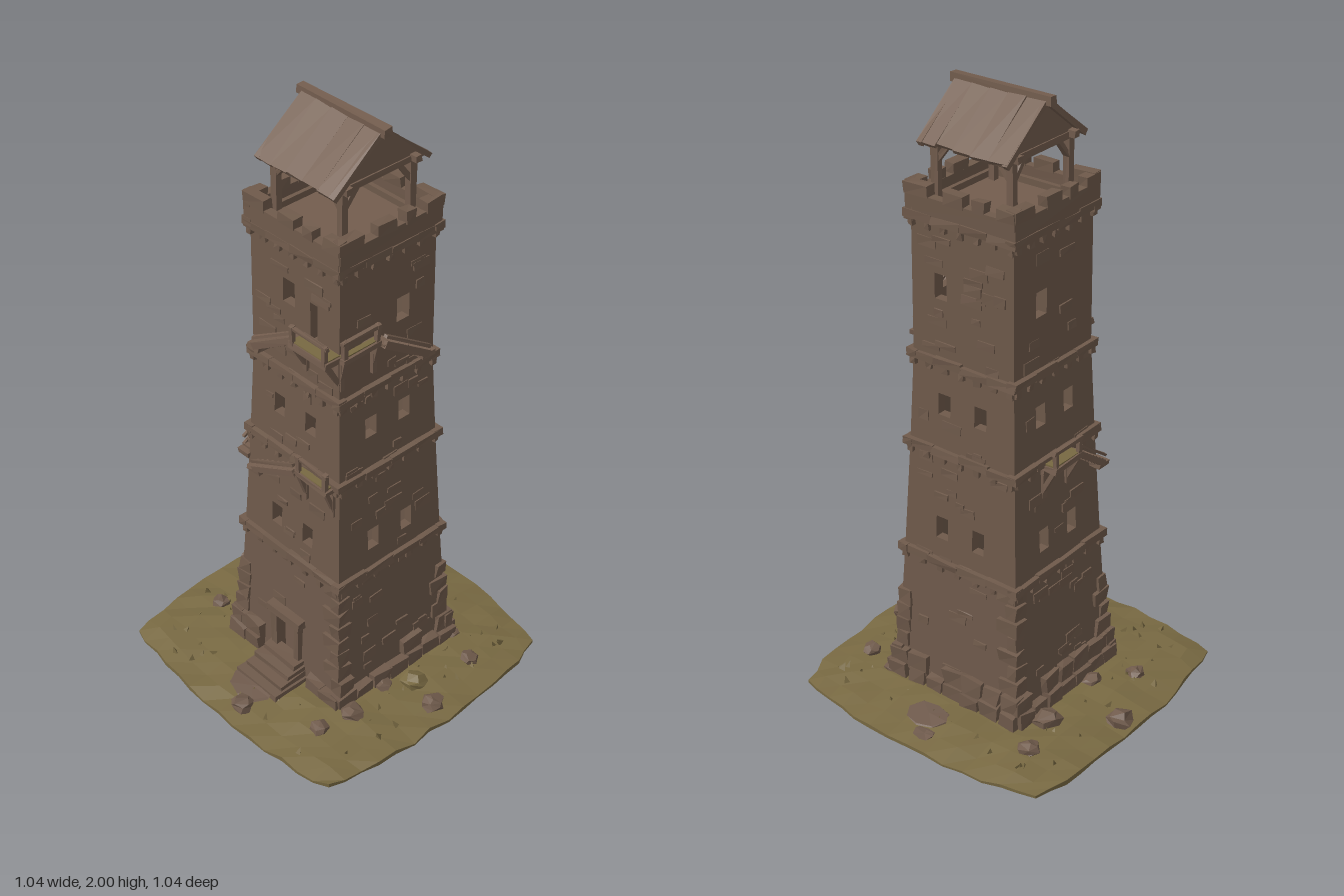
import * as THREE from 'three';

const mat = (name, color) => Object.assign(new THREE.MeshStandardMaterial({ color, flatShading: true }), { name });

export function createModel() {
  const stone = mat('stone', 0x6f5a4b), wood = mat('wood', 0x735d4e);
  const grass = mat('grass', 0x786942), dirt = mat('dirt', 0x715c4e);
  const model = new THREE.Group();
  model.name = 'watchtower';

  let seed = 7;
  const rnd = (a = 0, b = 1) => {
    seed = (seed * 16807) % 2147483647;
    return a + (b - a) * seed / 2147483647;
  };
  // Repeatable noise in -1..1 from a position
  const noise = (x, y, z) => {
    const s = Math.sin(x * 127.1 + y * 311.7 + z * 74.7) * 43758.5453;
    return (s - Math.floor(s)) * 2 - 1;
  };
  const rough = (geo, amount, salt) => {
    const p = geo.attributes.position;
    for (let i = 0; i < p.count; i++) {
      const [x, y, z] = [p.getX(i), p.getY(i), p.getZ(i)].map(v => Math.round(v * 1000) / 1000 + 0);
      p.setXYZ(i, x + amount * noise(x + salt, y, z), y + amount * noise(x, y + salt, z), z + amount * noise(x, y, z + salt));
    }
    geo.computeVertexNormals();
    return geo;
  };
  const add = (parent, name, geo, material, x = 0, y = 0, z = 0) => {
    const m = new THREE.Mesh(geo, material);
    m.name = name;
    m.position.set(x, y, z);
    parent.add(m);
    return m;
  };
  // Hand-hewn block
  const block = (parent, name, material, w, h, d, x, y, z, amount = 0.003) =>
    add(parent, name, rough(new THREE.BoxGeometry(w, h, d), amount, rnd(1, 9)), material, x, y, z);
  // Straight beam between two points
  const beam = (parent, name, a, b, thick, depth, material = wood) => {
    const A = new THREE.Vector3(...a), B = new THREE.Vector3(...b);
    const m = block(parent, name, material, thick, A.distanceTo(B), depth, 0, 0, 0, 0.002);
    m.position.copy(A).add(B).multiplyScalar(0.5);
    m.quaternion.setFromUnitVectors(new THREE.Vector3(0, 1, 0), B.sub(A).normalize());
    return m;
  };

  // Ground slab with ragged edge and gentle mound
  const ground = new THREE.BoxGeometry(1, 1, 1, 14, 1, 14);
  const gp = ground.attributes.position;
  for (let i = 0; i < gp.count; i++) {
    const x = gp.getX(i), z = gp.getZ(i), top = gp.getY(i) > 0;
    const rx = Math.round(x * 14), rz = Math.round(z * 14);
    const edge = Math.max(Math.abs(x), Math.abs(z)) * 2;
    const bulge = 1.035 - 0.4 * x * x * z * z * 4 + 0.014 * noise(rx, 1, rz);
    const y = 0.012 + 0.022 * Math.min(1, (1 - edge) * 3) + 0.006 * noise(rx, 3, rz);
    gp.setXYZ(i, x * bulge, top ? y : 0, z * bulge - 0.005);
  }
  ground.computeVertexNormals();
  add(model, 'ground', ground, grass);

  // Bare earth patches
  for (const [x, z, r] of [[0.02, -0.39, 0.075], [-0.03, -0.47, 0.035], [0, 0.37, 0.08]]) {
    const patch = add(model, 'dirtPatch', rough(new THREE.CylinderGeometry(r, r, 0.006, 8), 0.008, x), dirt, x, 0.036, z);
    patch.scale.set(1, 0.5, 0.75);
  }

  // Loose rocks: x, z, radius
  for (const [x, z, r] of [[-0.33, -0.33, 0.037], [-0.29, -0.18, 0.05], [-0.465, -0.035, 0.047], [-0.28, 0.07, 0.035],
    [-0.37, 0.19, 0.032], [0.39, -0.235, 0.032], [0.34, -0.03, 0.042], [0.45, -0.005, 0.04], [0.31, 0.215, 0.043],
    [0.285, 0.335, 0.034], [0.04, 0.445, 0.038], [0.29, 0.06, 0.03], [0.27, -0.27, 0.03]]) {
    const rock = add(model, 'rock', rough(new THREE.DodecahedronGeometry(r), r * 0.15, x), x === 0.34 ? grass : stone, x, 0.035, z);
    rock.scale.y = 0.65;
    rock.rotation.y = x * 20;
  }
  // Grass tufts
  for (let i = 0; i < 60; i++) {
    const a = rnd(0, 6.28), s = rnd(0.3, 0.47) / Math.max(Math.abs(Math.cos(a)), Math.abs(Math.sin(a)));
    const tuft = add(model, 'grassTuft', new THREE.ConeGeometry(rnd(0.006, 0.014), 0.025, 3), grass,
      Math.cos(a) * Math.min(s, 0.54), 0.032, Math.sin(a) * Math.min(s, 0.54));
    tuft.rotation.set(rnd(-0.7, 0.7), rnd(0, 6), rnd(-0.7, 0.7));
  }

  const tower = new THREE.Group();
  tower.name = 'tower';
  tower.position.set(0.01, 0, -0.02);
  model.add(tower);

  // Half width of the tapering tower at a height
  const taper = [[0, 0.245], [0.5, 0.218], [0.88, 0.2], [1.18, 0.188], [1.66, 0.186]];
  const half = y => {
    let i = 1;
    while (i < taper.length - 1 && y > taper[i][0]) i++;
    const [y0, w0] = taper[i - 1], [y1, w1] = taper[i];
    return w0 + (w1 - w0) * (y - y0) / (y1 - y0);
  };

  // Openings on each side (front, left, back, right): centre across, centre up, width, height
  const pair = [[-0.068, 1.04, 0.045, 0.07], [0.068, 1.04, 0.045, 0.07], [-0.07, 0.62, 0.045, 0.075], [0.07, 0.62, 0.045, 0.075]];
  const openings = [
    [...pair, [0, 0.16, 0.09, 0.18], [-0.025, 1.46, 0.05, 0.08], [0.08, 1.405, 0.03, 0.13]],
    [...pair, [0.06, 1.4, 0.05, 0.08]],
    [...pair, [-0.08, 1.42, 0.045, 0.08]],
    [...pair, [-0.06, 1.4, 0.05, 0.08]],
  ];

  const sides = openings.map((holes, k) => {
    const side = new THREE.Group();
    side.name = ['frontSide', 'leftSide', 'backSide', 'rightSide'][k];
    side.rotation.y = k * Math.PI / 2;
    tower.add(side);

    // Wall panels, one per storey, leaning in with the taper
    for (let i = 1; i < taper.length; i++) {
      const [y0, w0] = taper[i - 1], [y1, w1] = taper[i];
      const shape = new THREE.Shape([[-w0, y0], [w0, y0], [w1, y1], [-w1, y1]].map(p => new THREE.Vector2(...p)));
      for (const [u, y, w, h] of holes) {
        if (y < y0 || y > y1) continue;
        shape.holes.push(new THREE.Path([[-1, -1], [-1, 1], [1, 1], [1, -1]].map(([a, b]) => new THREE.Vector2(u + a * w / 2, y + b * h / 2))));
      }
      const geo = new THREE.ExtrudeGeometry(shape, { depth: 0.03, bevelEnabled: false });
      const p = geo.attributes.position;
      for (let j = 0; j < p.count; j++) p.setZ(j, p.getZ(j) + half(p.getY(j)) - 0.03);
      geo.computeVertexNormals();
      add(side, 'wall', geo, stone);
    }

    // Raised stones scattered over the wall
    for (let i = 0; i < 50; i++) {
      const y = rnd(0.12, 1.58), u = rnd(-0.15, 0.15), w = rnd(0.03, 0.075), h = rnd(0.015, 0.035);
      if (holes.some(o => Math.abs(o[0] - u) < (o[2] + w) / 2 + 0.005 && Math.abs(o[1] - y) < (o[3] + h) / 2 + 0.005)) continue;
      block(side, 'wallStone', stone, w, h, 0.008, u, y, half(y), 0.002).rotation.x = -0.04;
    }

    // Storey bands with teeth below
    for (const [y, h] of [[0.505, 0.026], [0.885, 0.024], [1.18, 0.024], [1.625, 0.024]]) {
      const r = half(y) + 0.014;
      for (let i = 0; i < 4; i++) {
        const w = r / 2;
        block(side, 'band', stone, w + 0.004, h, 0.034, -r + w * (i + 0.5), y + rnd(-0.003, 0.003), r - 0.015);
      }
      for (let i = 0; i < 7; i++) block(side, 'bandTooth', stone, 0.02, 0.024, 0.02, (i - 3) * r * 0.3, y - 0.021, half(y) + 0.003);
    }

    // Foundation stones and corner quoins
    for (let row = 0; row < 2; row++) for (let i = 0; i < 7; i++) {
      const u = (i - 3) * 0.074;
      if (k === 0 && Math.abs(u) < 0.08 || row && rnd() < 0.25) continue;
      block(side, 'foundationStone', stone, rnd(0.06, 0.08), rnd(0.05, 0.065), 0.04, u, 0.05 + row * 0.057, 0.25 - row * 0.012, 0.006);
    }
    for (let i = 0; i < 7; i++) {
      const y = 0.165 + i * 0.053, w = i % 2 ? 0.04 : 0.07;
      if (i > 3 && k % 2) continue;
      block(side, 'quoin', stone, w, 0.048, 0.05, half(y) - w / 2 + 0.009, y, half(y) - 0.016, 0.005);
    }

    // Parapet and merlons
    block(side, 'parapet', stone, 0.396, 0.058, 0.03, 0, 1.664, 0.185, 0.002);
    for (const [u, w] of [[-0.155, 0.085], [-0.02, 0.07], [0.07, 0.04], [0.165, 0.065]])
      block(side, 'merlon', stone, w, 0.036, 0.034, u, 1.706, 0.185);
    return side;
  });
  block(tower, 'topFloor', wood, 0.36, 0.02, 0.36, 0, 1.63, 0, 0);

  // Doorway: door leaf, frame, lintel and steps
  const front = sides[0];
  block(front, 'door', wood, 0.1, 0.19, 0.012, 0, 0.16, 0.205, 0);
  for (const s of [-1, 1]) block(front, 'doorPost', stone, 0.024, 0.18, 0.03, s * 0.055, 0.16, 0.238);
  block(front, 'lintel', stone, 0.15, 0.03, 0.045, 0, 0.262, 0.24);
  for (let i = 0; i < 4; i++)
    block(front, 'step', stone, 0.185 - i * 0.012, 0.024, 0.15 - i * 0.033, 0, 0.034 + i * 0.019, 0.305 - i * 0.0165);

  // Landing with mossy top, brackets and railing
  const landing = (side, u0, u1, y, out) => {
    const r = half(y), mid = (u0 + u1) / 2, w = u1 - u0;
    block(side, 'landing', wood, w, 0.018, out, mid, y, r + out / 2);
    block(side, 'landingMoss', grass, w - 0.012, 0.006, out - 0.012, mid, y + 0.01, r + out / 2, 0.001);
    for (const u of [u0 + 0.012, u1 - 0.012]) {
      beam(side, 'bracket', [u, y - 0.1, r], [u, y, r + out - 0.008], 0.014, 0.014);
      beam(side, 'wallPost', [u, y - 0.11, r + 0.006], [u, y, r + 0.006], 0.016, 0.014);
      beam(side, 'railPost', [u, y, r + out - 0.008], [u, y + 0.065, r + out - 0.008], 0.014, 0.014);
    }
    beam(side, 'rail', [u0, y + 0.058, r + out - 0.008], [u1, y + 0.058, r + out - 0.008], 0.012, 0.012);
  };
  // Sloping flight against a wall, with treads
  const flight = (side, u0, y0, u1, y1) => {
    const r = half(y0);
    beam(side, 'stringer', [u0, y0, r + 0.04], [u1, y1, r + 0.04], 0.022, 0.012);
    beam(side, 'handrail', [u0, y0 + 0.03, r + 0.043], [u1, y1 + 0.03, r + 0.043], 0.01, 0.012);
    for (let i = 0; i < 8; i++) {
      const t = (i + 0.5) / 8;
      block(side, 'tread', wood, 0.03, 0.012, 0.045, u0 + (u1 - u0) * t, y0 + (y1 - y0) * t, r + 0.02, 0.001);
    }
    block(side, 'foot', wood, 0.05, 0.018, 0.045, u0, y0 - 0.005, r + 0.02);
  };
  landing(front, 0.05, 0.19, 0.875, 0.045);
  flight(front, -0.14, 0.78, 0.05, 0.875);
  landing(sides[3], -0.08, 0.06, 0.875, 0.06);
  flight(sides[3], 0.19, 0.78, 0.06, 0.87);
  landing(front, 0.04, 0.2, 1.345, 0.065);
  flight(front, -0.14, 1.235, 0.04, 1.345);
  landing(sides[1], -0.2, -0.05, 1.345, 0.03);
  flight(sides[1], 0.13, 1.225, -0.05, 1.345);

  // Roof frame: posts, braces and plates
  const roof = new THREE.Group();
  roof.name = 'roof';
  tower.add(roof);
  for (const sx of [-1, 1]) for (const sz of [-1, 1]) {
    const x = sx * 0.135, z = sz * 0.13;
    beam(roof, 'post', [x, 1.63, z], [x, 1.85, z], 0.022, 0.022);
    beam(roof, 'brace', [x, 1.775, z], [x - sx * 0.055, 1.845, z], 0.016, 0.016);
    beam(roof, 'brace', [x, 1.775, z], [x, 1.845, z - sz * 0.055], 0.016, 0.016);
  }
  for (const s of [-1, 1]) {
    beam(roof, 'eavesBeam', [-0.165, 1.848, s * 0.13], [0.165, 1.848, s * 0.13], 0.022, 0.022);
    beam(roof, 'tieBeam', [s * 0.135, 1.842, -0.17], [s * 0.135, 1.842, 0.17], 0.02, 0.02);
    // Gable boarding
    const tri = new THREE.Shape([[-0.165, 1.84], [0.165, 1.84], [0, 1.975]].map(p => new THREE.Vector2(...p)));
    const gable = add(roof, 'gable', new THREE.ExtrudeGeometry(tri, { depth: 0.01, bevelEnabled: false }), wood, s * 0.135 - 0.005);
    gable.rotation.y = Math.PI / 2;
    // Roof boards and rafters along the edge
    const pitch = Math.atan2(0.14, 0.175);
    for (let i = 0; i < 5; i++) {
      const board = block(roof, 'roofBoard', wood, 0.064, 0.014, 0.226 + rnd(-0.01, 0.01), (i - 2) * 0.063, 1.912, s * 0.09, 0.002);
      board.rotation.x = s * pitch;
    }
    for (const x of [-0.152, 0.152]) beam(roof, 'rafter', [x, 1.838, s * 0.18], [x, 1.98, 0], 0.018, 0.018);
  }
  beam(roof, 'ridgeBeam', [-0.178, 1.983, 0], [0.178, 1.983, 0], 0.028, 0.028);

  return model;
}
